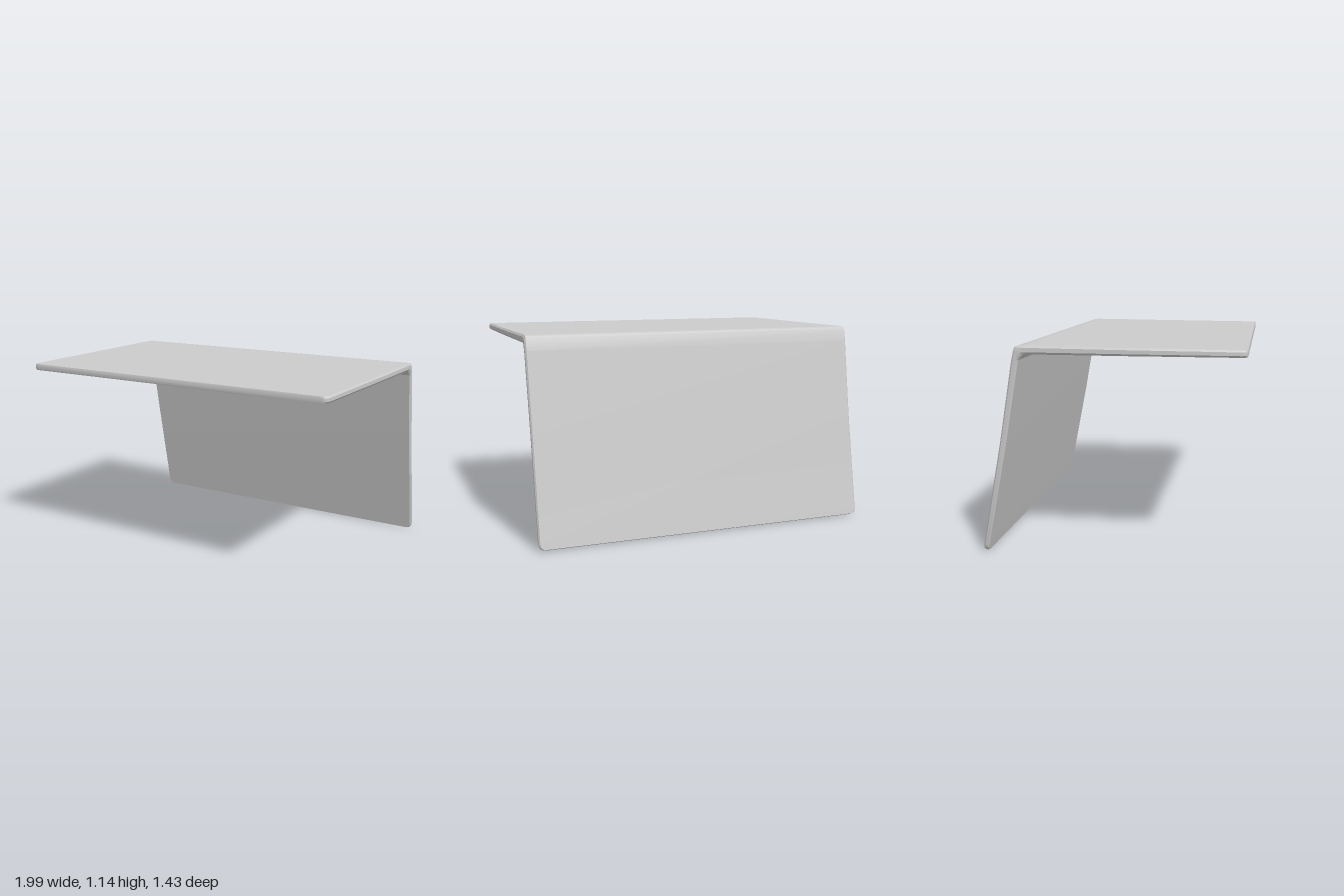
import * as THREE from 'three';
import { toCreasedNormals } from 'three/addons/utils/BufferGeometryUtils.js';

const material = new THREE.MeshStandardMaterial({ color: 0xcccccc });
const CORNER = 0.035; // corner radius of the free ends

// Chamfered cross-section at a station: [outer z, outer y, inner z, inner y, half width]
function ring([oz, oy, iz, iy, w]) {
  const c = 0.008;
  const outline = [
    [w - c, 0], [w, 0.25], [w, 0.75], [w - c, 1],
    [c - w, 1], [-w, 0.75], [-w, 0.25], [c - w, 0],
  ];
  return outline.map(([x, s]) => [x, iy + (oy - iy) * s, iz + (oz - iz) * s]);
}

// Skin a run of stations, closing the free ends
function loft(name, stations, capStart, capEnd) {
  const rings = stations.map(ring);
  const n = rings[0].length;
  const index = [];
  for (let k = 0; k < rings.length - 1; k++) {
    for (let i = 0; i < n; i++) {
      const j = (i + 1) % n;
      const a = k * n + i, b = k * n + j, c = b + n, d = a + n;
      index.push(a, d, b, b, d, c);
    }
  }
  const last = (rings.length - 1) * n;
  for (let i = 1; i < n - 1; i++) {
    if (capStart) index.push(0, i, i + 1);
    if (capEnd) index.push(last, last + i + 1, last + i);
  }
  const geometry = new THREE.BufferGeometry();
  geometry.setAttribute('position', new THREE.Float32BufferAttribute(rings.flat(2), 3));
  geometry.setIndex(index);
  const mesh = new THREE.Mesh(toCreasedNormals(geometry, 0.5), material);
  mesh.name = name;
  return mesh;
}

// Stations rounding off a free end, from the tip inwards towards the next station
function roundedEnd(tip, next) {
  const length = Math.hypot(next[0] - tip[0], next[1] - tip[1]);
  return [0, 0.08, 0.25, 0.5, 1].map((f) => {
    const p = tip.map((v, i) => v + (next[i] - v) * (f * CORNER / length));
    p[4] = tip[4] - CORNER + CORNER * Math.sqrt(1 - (1 - f) ** 2);
    if (f === 0) { // soften the tip edge
      const [oz, oy, iz, iy] = p;
      p[0] += (iz - oz) * 0.15; p[1] += (iy - oy) * 0.15;
      p[2] += (oz - iz) * 0.15; p[3] += (oy - iy) * 0.15;
    }
    return p;
  });
}

export function createModel() {
  const model = new THREE.Group();
  model.name = 'foldedPanels';

  // Key stations along the folded sheet
  const frontTip = [0.713, 1.137, 0.713, 1.1, 0.993];
  const topMiddle = [0.1, 1.14, 0.1, 1.098, 0.995];
  const foldStart = [-0.44, 1.144, -0.44, 1.098, 0.995];
  const foldEnd = [-0.522, 1.06, -0.484, 1.066, 0.995];
  const backMiddle = [-0.598, 0.62, -0.563, 0.62, 0.99];
  const bottomTip = [-0.714, 0.008, -0.685, 0, 0.988];

  // Level top panel
  model.add(loft('topPanel',
    [...roundedEnd(frontTip, topMiddle), topMiddle, foldStart], true, false));

  // Bend joining the two panels
  model.add(loft('foldEdge', [
    foldStart,
    [-0.485, 1.143, -0.455, 1.097, 0.996],
    [-0.5, 1.138, -0.467, 1.087, 0.996],
    [-0.508, 1.122, -0.477, 1.079, 0.996],
    foldEnd,
  ], false, false));

  // Sloping back panel
  model.add(loft('backPanel',
    [foldEnd, backMiddle, ...roundedEnd(bottomTip, backMiddle).reverse()], false, true));

  return model;
}
